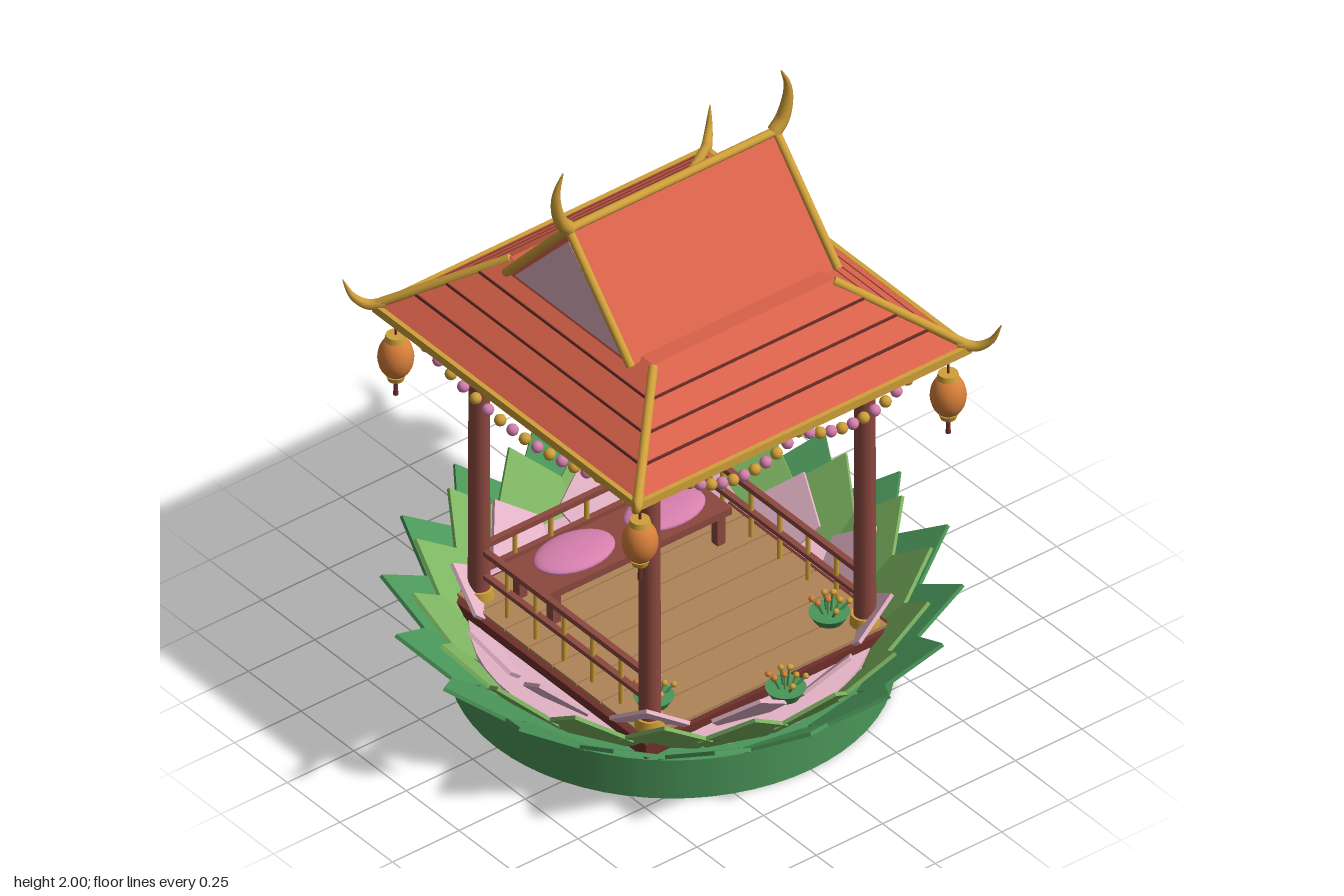
import * as THREE from 'three';

const mat = (name, color, opt = {}) => Object.assign(new THREE.MeshStandardMaterial({ color, ...opt }), { name });

export function createModel() {
  const root = new THREE.Group();
  root.name = 'lotusPavilion';
  const green = mat('leafGreen', 0x4a9659), lime = mat('lightGreen', 0x7db562);
  const gold = mat('gold', 0xd0a03a), orange = mat('lanternOrange', 0xd9803a);
  const red = mat('timberRed', 0x8c483f), tile = mat('roofTile', 0xd9624a);
  const blush = mat('palePink', 0xe3b3c6), pink = mat('pink', 0xd67fad);
  const wood = mat('deckWood', 0xb08458), dark = mat('darkMaroon', 0x70302a);
  const V = (x, y, z) => new THREE.Vector3(x, y, z);

  const add = (name, geo, m, x = 0, y = 0, z = 0, parent = root) => {
    const mesh = new THREE.Mesh(geo, m);
    mesh.name = name;
    mesh.position.set(x, y, z);
    parent.add(mesh);
    return mesh;
  };
  const group = (name, x = 0, y = 0, z = 0) => {
    const g = new THREE.Group();
    g.name = name;
    g.position.set(x, y, z);
    root.add(g);
    return g;
  };
  const box = (name, w, h, d, m, x, y, z, parent) => add(name, new THREE.BoxGeometry(w, h, d), m, x, y, z, parent);
  const cyl = (name, rt, rb, h, m, x, y, z, parent, n = 20) =>
    add(name, new THREE.CylinderGeometry(rt, rb, h, n), m, x, y, z, parent);
  // round bar between two points
  const rod = (name, a, b, r, m, parent) => {
    const mesh = cyl(name, r, r, a.distanceTo(b), m, 0, 0, 0, parent, 10);
    mesh.position.copy(a).add(b).multiplyScalar(0.5);
    mesh.quaternion.setFromUnitVectors(V(0, 1, 0), b.clone().sub(a).normalize());
    return mesh;
  };
  // curved spike: a tube narrowed along its length
  const spike = (name, pts, r, m) => {
    const curve = new THREE.CatmullRomCurve3(pts), n = 16, sides = 8;
    const geo = new THREE.TubeGeometry(curve, n, r, sides), p = geo.attributes.position;
    for (let i = 0; i <= n; i++) {
      const c = curve.getPointAt(i / n), k = 1 - 0.92 * (i / n) ** 1.8;
      for (let j = 0; j <= sides; j++) {
        const q = i * (sides + 1) + j;
        const v = new THREE.Vector3().fromBufferAttribute(p, q).sub(c).multiplyScalar(k).add(c);
        p.setXYZ(q, v.x, v.y, v.z);
      }
    }
    return add(name, geo, m);
  };
  // square frustum with bottom half-width b and top half-width t
  const frustum = (name, b, t, h, m, y) => {
    const geo = new THREE.CylinderGeometry(t * Math.SQRT2, b * Math.SQRT2, h, 4).rotateY(Math.PI / 4).toNonIndexed();
    geo.computeVertexNormals();
    return add(name, geo, m, 0, y + h / 2, 0);
  };
  const corners = [[1, 1], [-1, 1], [1, -1], [-1, -1]];

  // lotus base
  cyl('baseDisc', 0.66, 0.66, 0.14, green, 0, 0.07, 0, root, 64);
  cyl('innerFloor', 0.6, 0.6, 0.03, blush, 0, 0.15, 0, root, 48);

  // rings of pointed petals leaning outward
  const petals = (name, count, offset, r0, y0, r1, y1, hw, m) => {
    const len = Math.hypot(r1 - r0, y1 - y0);
    const s = new THREE.Shape();
    s.moveTo(-hw * 0.65, 0);
    s.lineTo(hw * 0.65, 0);
    s.lineTo(hw, len * 0.38);
    s.lineTo(0, len);
    s.lineTo(-hw, len * 0.38);
    s.closePath();
    const geo = new THREE.ExtrudeGeometry(s, { depth: 0.012, bevelEnabled: false });
    geo.translate(0, 0, -0.006).rotateX(Math.atan2(r1 - r0, y1 - y0)).translate(0, y0, r0);
    const ring = group(name);
    for (let i = 0; i < count; i++) add('petal', geo, m, 0, 0, 0, ring).rotation.y = offset + (i / count) * Math.PI * 2;
  };
  petals('outerPetals', 18, Math.PI / 18, 0.62, 0.13, 0.86, 0.31, 0.145, green);
  petals('middlePetals', 18, 0, 0.59, 0.14, 0.775, 0.345, 0.14, lime);
  petals('innerPetals', 12, Math.PI / 12, 0.52, 0.16, 0.655, 0.315, 0.12, blush);

  // plank deck in a timber frame
  box('deckFrame', 0.94, 0.05, 0.94, dark, 0, 0.17, 0);
  for (let i = 0; i < 8; i++) box('plank', 0.9, 0.016, 0.108, wood, 0, 0.198, -0.399 + i * 0.114);

  // posts with gold feet and capitals
  for (const [sx, sz] of corners) {
    const p = group('post', sx * 0.405, 0, sz * 0.405);
    cyl('shaft', 0.031, 0.034, 1.02, red, 0, 0.7, 0, p);
    cyl('foot', 0.042, 0.046, 0.035, gold, 0, 0.222, 0, p);
    cyl('capital', 0.048, 0.034, 0.045, gold, 0, 1.188, 0, p);
    cyl('capitalRing', 0.038, 0.038, 0.015, gold, 0, 1.165, 0, p);
  }
  for (const s of [-1, 1]) {
    box('crossBeam', 0.96, 0.03, 0.05, red, 0, 1.213, s * 0.405);
    box('sideBeam', 0.05, 0.03, 0.96, red, s * 0.405, 1.213, 0);
  }

  // railings on the back and both sides
  for (const a of [-Math.PI / 2, Math.PI / 2, Math.PI]) {
    const g = group('railing');
    for (const [y, h] of [[0.382, 0.018], [0.295, 0.015]]) box('rail', 0.78, h, 0.02, red, 0, y, 0.405, g);
    for (const x of [-0.27, -0.135, 0, 0.135, 0.27]) cyl('baluster', 0.008, 0.008, 0.18, gold, x, 0.29, 0.405, g, 8);
    g.rotation.y = a;
  }

  // bench and cushions
  const bench = group('bench', 0, 0, -0.25);
  box('seat', 0.69, 0.025, 0.2, red, 0, 0.318, 0, bench);
  for (const x of [-0.31, 0.31]) for (const z of [-0.08, 0.08]) box('leg', 0.03, 0.11, 0.03, red, x, 0.255, z, bench);
  for (const x of [-0.17, 0.17]) add('cushion', new THREE.SphereGeometry(1, 28, 14), pink, x, 0.347, 0, bench).scale.set(0.138, 0.024, 0.09);

  // flower pots
  for (const [x, z] of [[-0.33, 0.33], [0.33, 0.33], [0, 0.54]]) {
    const pot = group('flowerPot', x, 0.2, z);
    cyl('bowl', 0.062, 0.042, 0.035, green, 0, 0.018, 0, pot);
    for (let i = 0; i < 9; i++) {
      const a = i * 2.4, r = 0.012 + 0.005 * i, h = 0.1 - 0.005 * i;
      const top = V(Math.cos(a) * r * 1.2, h, Math.sin(a) * r * 1.2);
      rod('stem', V(top.x * 0.5, 0.03, top.z * 0.5), top, 0.004, i % 2 ? lime : green, pot);
      add('flower', new THREE.SphereGeometry(0.01, 8, 6), [gold, orange, gold][i % 3], top.x, top.y, top.z, pot);
    }
  }

  // lower hipped roof in four stepped tiers
  const steps = [[0.622, 1.245], [0.542, 1.308], [0.478, 1.357], [0.41, 1.41], [0.345, 1.46]];
  for (let i = 0; i < 4; i++) {
    const [b, y] = steps[i], [t, y2] = steps[i + 1];
    frustum('roofTier', b + (i ? 0.004 : 0), t - 0.006, y2 - y, tile, y);
    if (i) box('tierShadowBoard', 2 * b + 0.01, 0.012, 2 * b + 0.01, dark, 0, y - 0.004, 0);
  }
  box('eaveSoffit', 1.235, 0.015, 1.235, tile, 0, 1.238, 0);
  for (const s of [-1, 1]) {
    box('eaveTrim', 1.26, 0.028, 0.016, gold, 0, 1.238, s * 0.622);
    box('eaveTrim', 0.016, 0.028, 1.26, gold, s * 0.622, 1.238, 0);
  }
  for (const [sx, sz] of corners) {
    rod('hipRidge', V(sx * 0.34, 1.455, sz * 0.34), V(sx * 0.625, 1.25, sz * 0.625), 0.015, gold);
    spike('eaveFinial', [[0.6, 1.258], [0.64, 1.25], [0.67, 1.275], [0.692, 1.335]].map(([d, y]) => V(sx * d, y, sz * d)), 0.018, gold);
  }

  // upper gabled roof
  const triangle = (w, y0, y1) => new THREE.Shape([new THREE.Vector2(-w, y0), new THREE.Vector2(w, y0), new THREE.Vector2(0, y1)]);
  const prism = (w, y0, y1, d) =>
    new THREE.ExtrudeGeometry(triangle(w, y0, y1), { depth: d, bevelEnabled: false }).translate(0, 0, -d / 2).rotateY(Math.PI / 2);
  add('gableRoof', prism(0.292, 1.45, 1.785, 0.77), tile);
  for (const s of [-1, 1]) {
    add('gablePanel', prism(0.255, 1.465, 1.74, 0.006), blush, s * 0.387);
    for (const z of [-1, 1]) rod('bargeBoard', V(s * 0.39, 1.452, z * 0.297), V(s * 0.39, 1.785, 0), 0.014, gold);
    spike('ridgeFinial', [[0.385, 1.785], [0.415, 1.82], [0.435, 1.885], [0.434, 1.94], [0.41, 2]].map(([x, y]) => V(s * x, y, 0)), 0.023, gold);
  }
  rod('ridgeBar', V(-0.4, 1.785, 0), V(0.4, 1.785, 0), 0.014, gold);

  // corner lanterns
  for (const [sx, sz] of corners) {
    const g = group('lantern', sx * 0.58, 1.065, sz * 0.58);
    cyl('cord', 0.004, 0.004, 0.12, dark, 0, 0.12, 0, g, 6);
    add('body', new THREE.SphereGeometry(0.055, 20, 14), orange, 0, 0, 0, g).scale.y = 1.35;
    cyl('topCap', 0.03, 0.034, 0.018, gold, 0, 0.072, 0, g);
    cyl('bottomCap', 0.03, 0.024, 0.018, gold, 0, -0.075, 0, g);
    cyl('tassel', 0.005, 0.008, 0.06, dark, 0, -0.11, 0, g, 8);
  }

  // bead garlands: two swags in front, one on each side
  const garland = (a, b, drop, n) => {
    const g = group('garland');
    for (let i = 0; i <= n; i++) {
      const t = i / n, p = a.clone().lerp(b, t);
      add('bead', new THREE.SphereGeometry(0.019, 10, 8), i % 2 ? pink : gold, p.x, p.y - drop * 4 * t * (1 - t), p.z, g);
    }
  };
  for (const s of [-1, 1]) {
    garland(V(0, 1.212, 0.6), V(s * 0.41, 1.212, 0.6), 0.068, 10);
    garland(V(s * 0.6, 1.212, -0.41), V(s * 0.6, 1.212, 0.41), 0.068, 14);
  }
  return root;
}
